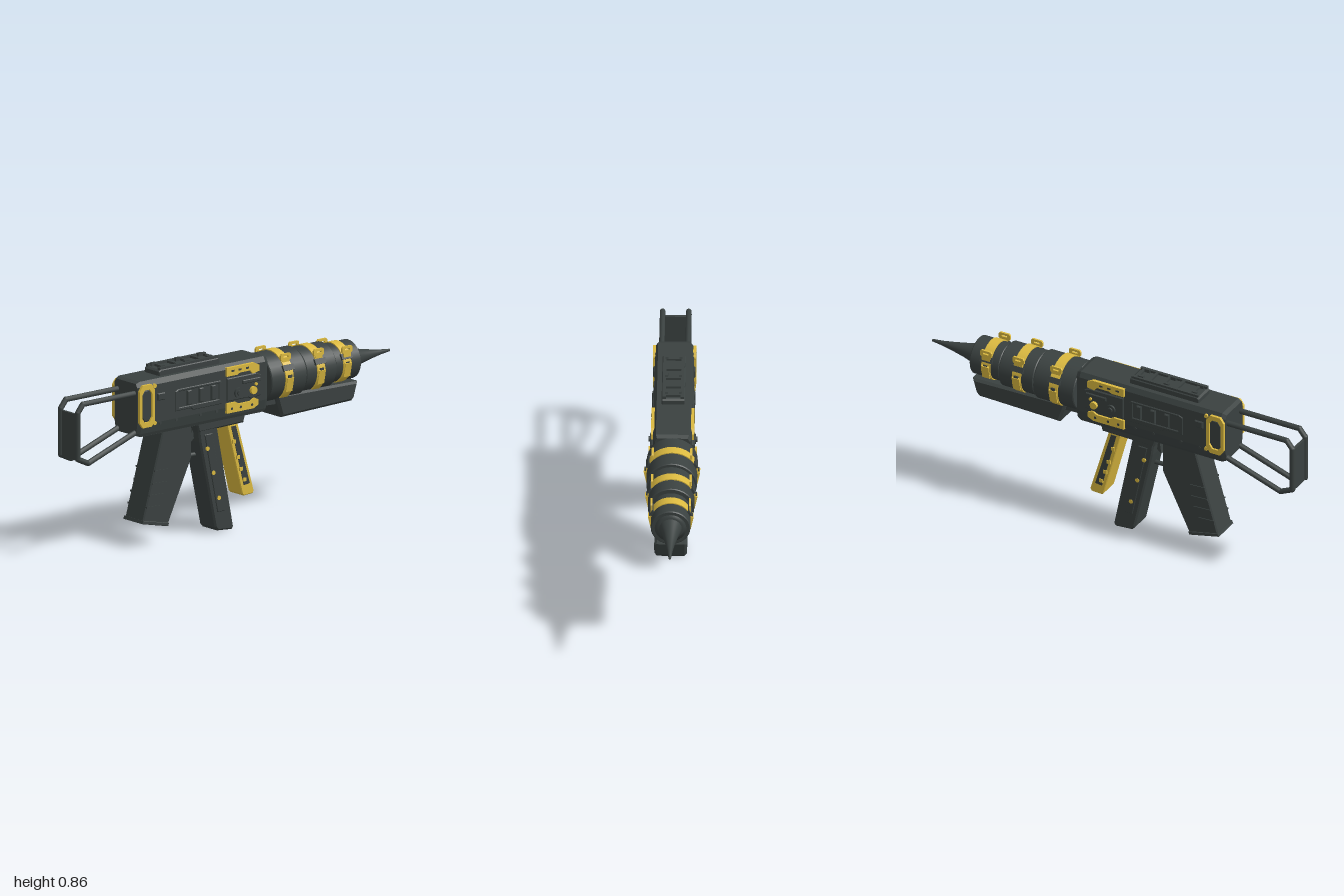
import * as THREE from 'three';

export function createModel() {
  const root = new THREE.Group();
  const dark = new THREE.MeshStandardMaterial({ name: 'gunmetal', color: 0x3a4140 });
  const gold = new THREE.MeshStandardMaterial({ name: 'brass', color: 0xdcba40 });
  const AXIS_Y = 0.695; // height of the barrel axis

  const add = (name, geo, mat, parent = root) => {
    const m = new THREE.Mesh(geo, mat);
    m.name = name;
    parent.add(m);
    return m;
  };
  const group = (name) => {
    const g = new THREE.Group();
    g.name = name;
    root.add(g);
    return g;
  };
  const toShape = (pts) => new THREE.Shape(pts.map(([a, b]) => new THREE.Vector2(a, b)));

  // Side outline of [z, y] points, extruded across x and centred on x = 0
  const profile = (pts, width, bevel = 0, holes = []) => {
    const s = toShape(pts);
    holes.forEach((h) => s.holes.push(new THREE.Path(h.map(([a, b]) => new THREE.Vector2(a, b)))));
    const depth = width - 2 * bevel;
    const g = new THREE.ExtrudeGeometry(s, {
      depth, bevelEnabled: bevel > 0, bevelSize: bevel, bevelThickness: bevel, bevelOffset: -bevel, bevelSegments: 1,
    });
    return g.translate(0, 0, -depth / 2).rotateY(-Math.PI / 2);
  };
  // The same outline as a plate between x0 and x1 on both sides
  const sidePlates = (name, pts, x0, x1, mat, parent, bevel = 0, holes = []) => {
    for (const s of [1, -1]) {
      add(name, profile(pts, x1 - x0, bevel, holes).translate((s * (x0 + x1)) / 2, 0, 0), mat, parent);
    }
  };
  const rect = (z0, z1, y0, y1) => [[z0, y0], [z1, y0], [z1, y1], [z0, y1]];
  // Round stud or knob on both sides
  const studs = (name, z, y, r, x0, x1, mat, parent, sides = 12) => {
    for (const s of [1, -1]) {
      const g = new THREE.CylinderGeometry(r, r, x1 - x0, sides).rotateZ(Math.PI / 2);
      add(name, g.translate((s * (x0 + x1)) / 2, y, z), mat, parent);
    }
  };
  const box = (name, w, h, d, x, y, z, mat, parent) =>
    add(name, new THREE.BoxGeometry(w, h, d).translate(x, y, z), mat, parent);
  // Solid of revolution about the barrel axis from [radius, -z] points
  const lathe = (pts) => new THREE.LatheGeometry(pts.map(([r, d]) => new THREE.Vector2(r, d)), 32)
    .rotateX(-Math.PI / 2).translate(0, AXIS_Y, 0);

  // Receiver: chamfered cross-section running along z
  const receiver = group('receiver');
  const half = [[0.077, 0.55], [0.083, 0.565], [0.092, 0.61], [0.092, 0.795], [0.078, 0.82]];
  const section = toShape([...half, ...half.map(([x, y]) => [-x, y]).reverse()]);
  add('receiverBody', new THREE.ExtrudeGeometry(section, {
    depth: 0.765, bevelThickness: 0.02, bevelSize: 0.009, bevelOffset: -0.009, bevelSegments: 1,
  }).translate(0, 0, -0.15), dark, receiver);
  add('underPlate', profile([[0.25, 0.56], [-0.06, 0.56], [-0.045, 0.51], [0.235, 0.505]], 0.125, 0.008), dark, receiver);
  add('lowerRail', profile(rect(-0.15, 0.6, 0.545, 0.565), 0.13), dark, receiver);

  // Top rail with cross bars
  const rail = group('topRail');
  add('railBase', profile([[0.475, 0.81], [0.475, 0.84], [0.465, 0.848], [0.11, 0.848], [0.1, 0.84], [0.1, 0.81]], 0.11, 0.004), dark, rail);
  for (const x of [-0.043, 0.043]) box('railEdge', 0.016, 0.012, 0.36, x, 0.853, 0.288, dark, rail);
  for (const z of [0.13, 0.2, 0.27, 0.345, 0.43]) box('railBar', 0.09, 0.012, 0.014, 0, 0.853, z, dark, rail);
  for (const z of [0.15, 0.29, 0.44]) for (const x of [-0.033, 0.033]) box('railLug', 0.014, 0.018, 0.028, x, 0.856, z, dark, rail);

  // Side details of the receiver
  const details = group('sideDetails');
  const octagon = (z0, z1, y0, y1, c) => [[z0 + c, y0], [z1 - c, y0], [z1, y0 + c * 1.4], [z1, y1 - c * 1.4],
    [z1 - c, y1], [z0 + c, y1], [z0, y1 - c * 1.4], [z0, y0 + c * 1.4]];
  sidePlates('rearFrame', octagon(0.541, 0.635, 0.597, 0.804, 0.02), 0.088, 0.102, gold, details, 0,
    [octagon(0.557, 0.619, 0.622, 0.78, 0.016)]);
  sidePlates('rearFrameInset', octagon(0.56, 0.616, 0.626, 0.776, 0.015), 0.08, 0.098, dark, details, 0.003);
  for (const y of [0.61, 0.791]) studs('frameTab', 0.538, y, 0.011, 0.085, 0.1, gold, details, 6);
  sidePlates('sidePanel', [[0.41, 0.645], [0.41, 0.74], [0.39, 0.75], [0.13, 0.75], [0.12, 0.74], [0.12, 0.635], [0.3, 0.635], [0.31, 0.645]],
    0.085, 0.097, dark, details, 0.003, [rect(0.14, 0.385, 0.66, 0.738)]);
  for (const z of [0.175, 0.25, 0.325]) {
    sidePlates('sideBar', rect(z - 0.013, z + 0.013, 0.665, 0.735), 0.085, 0.102, dark, details, 0.004);
  }
  sidePlates('sideLug', rect(0.475, 0.52, 0.715, 0.75), 0.085, 0.1, dark, details, 0.004);
  for (const z of [0.15, 0.25, 0.4, 0.5]) studs('lowerRivet', z, 0.603, 0.008, 0.075, 0.094, dark, details, 8);

  // Brass strips above and below a raised block
  sidePlates('upperStrip', [[0.095, 0.763], [0.03, 0.763], [0.015, 0.771], [-0.05, 0.771], [-0.065, 0.753], [-0.105, 0.76], [-0.105, 0.79], [-0.075, 0.805], [0.095, 0.805]],
    0.085, 0.102, gold, details);
  sidePlates('lowerStrip', [[0.095, 0.583], [-0.07, 0.583], [-0.1, 0.597], [-0.1, 0.622], [-0.075, 0.634], [-0.05, 0.62], [0.02, 0.62], [0.04, 0.632], [0.095, 0.632]],
    0.078, 0.102, gold, details);
  for (const z of [0.06, 0.015, -0.03]) {
    sidePlates('upperSlot', rect(z - 0.009, z + 0.009, 0.782, 0.791), 0.09, 0.103, dark, details);
  }
  for (const z of [0.065, 0.01, -0.06]) studs('lowerHole', z, 0.603, 0.007, 0.09, 0.103, dark, details, 8);
  sidePlates('raisedBlock', [[0.09, 0.64], [-0.04, 0.64], [-0.06, 0.63], [-0.12, 0.64], [-0.12, 0.74], [-0.09, 0.752], [0.09, 0.752]],
    0.08, 0.099, dark, details, 0.004);
  sidePlates('blockRib', rect(-0.11, 0.0, 0.712, 0.73), 0.09, 0.106, dark, details, 0.003);
  studs('darkKnob', 0.025, 0.675, 0.024, 0.09, 0.108, dark, details, 16);
  studs('darkKnobCap', 0.025, 0.675, 0.013, 0.1, 0.116, dark, details, 12);
  studs('brassKnob', -0.065, 0.673, 0.019, 0.09, 0.114, gold, details, 10);
  studs('brassRivet', -0.085, 0.7, 0.008, 0.09, 0.106, gold, details, 8);

  // Barrel: three stepped sleeves, each with a brass band, buckles and tabs
  const barrel = group('barrel');
  add('innerBarrel', lathe([[0.085, 0.1], [0.085, 0.735], [0.0, 0.735]]), dark, barrel);
  for (const [d0, d1, r, band] of [[0.168, 0.387, 0.12, 0.275], [0.393, 0.58, 0.11, 0.48], [0.587, 0.745, 0.094, 0.655]]) {
    const c = 0.004;
    const corners = [[0.075, d0], [r - c, d0], [r, d0 + c], [r, d1 - c], [r - c, d1], [0.075, d1]];
    corners.slice(1).forEach((p, i) => add('sleeve', lathe([corners[i], p]), dark, barrel));
    const w = 0.024;
    const b = r + 0.005;
    const rim = [[r - 0.004, band - w], [b, band - w], [b, band + w], [r - 0.004, band + w]];
    rim.slice(1).forEach((p, i) => add('band', lathe([rim[i], p]), gold, barrel));
    // Buckles and pads placed around the sleeve by angle from the side
    for (const s of [1, -1]) {
      for (const [name, deg, thick, tall, long, mat] of [
        ['buckle', 26, 0.02, 0.028, 0.066, dark], ['pad', -12, 0.018, 0.07, 0.04, gold],
        ['padLug', 6, 0.022, 0.015, 0.022, dark]]) {
        const a = s > 0 ? THREE.MathUtils.degToRad(deg) : Math.PI - THREE.MathUtils.degToRad(deg);
        const g = new THREE.BoxGeometry(thick, tall, long).translate(r, 0, 0).rotateZ(a);
        add(name, g.translate(0, AXIS_Y, -band), mat, barrel);
      }
    }
    // Upright pull tabs with a slot
    const top = AXIS_Y + r;
    const z = -band;
    sidePlates('pullTab', [[z + 0.022, top - 0.06], [z - 0.022, top - 0.06], [z - 0.022, top - 0.035], [z - 0.031, top - 0.028],
      [z - 0.031, top - 0.006], [z - 0.024, top], [z + 0.024, top], [z + 0.031, top - 0.008], [z + 0.031, top - 0.028], [z + 0.022, top - 0.035]],
    0.086, 0.096, gold, barrel, 0, [rect(z - 0.016, z + 0.014, top - 0.02, top - 0.012)]);
  }
  add('muzzleCollar', lathe([[0.07, 0.73], [0.06, 0.75], [0, 0.75]]), dark, barrel);
  add('spike', lathe([[0.056, 0.74], [0.036, 0.81], [0.022, 0.88], [0.012, 0.94], [0.006, 0.996], [0, 1]]), dark, barrel);

  // Block hanging below the barrel
  const fore = group('foreBlock');
  add('foreBlockBody', profile([[-0.235, 0.61], [-0.245, 0.57], [-0.268, 0.5], [-0.705, 0.51], [-0.72, 0.525], [-0.742, 0.6]], 0.155, 0.012), dark, fore);
  add('foreBlockJoint', profile([[-0.12, 0.62], [-0.12, 0.57], [-0.26, 0.565], [-0.26, 0.62]], 0.11), dark, fore);

  // Magazine with sloped ribs and a lip at the foot
  const mag = group('magazine');
  add('magazineBody', profile([[0.46, 0.56], [0.285, 0.56], [0.285, 0.39], [0.432, 0.085], [0.588, 0.12]], 0.134, 0.006), dark, mag);
  add('magazineLip', profile([[0.426, 0.1], [0.432, 0.084], [0.592, 0.12], [0.586, 0.136]], 0.143, 0.002), dark, mag);
  for (const [z0, z1, y] of [[0.435, 0.515, 0.365], [0.44, 0.528, 0.305], [0.455, 0.548, 0.25], [0.48, 0.565, 0.195]]) {
    sidePlates('magazineRib', [[z0, y - 0.009], [z1, y - 0.004], [z1, y + 0.004], [z0, y]], 0.06, 0.071, dark, mag);
  }

  // Main grip with inset strip and brass rivets
  const grip = group('grip');
  add('gripBody', profile([[0.235, 0.53], [0.12, 0.53], [0.016, 0.012], [0.025, 0.001], [0.115, 0.008], [0.13, 0.025], [0.225, 0.455]], 0.12, 0.008), dark, grip);
  sidePlates('gripStrip', [[0.2, 0.49], [0.152, 0.49], [0.072, 0.1], [0.12, 0.1]], 0.05, 0.064, dark, grip, 0.003);
  for (const [z, y] of [[0.183, 0.42], [0.147, 0.297], [0.113, 0.169]]) studs('gripRivet', z, y, 0.011, 0.055, 0.067, gold, grip, 8);

  // Trigger and its guard
  const guard = new THREE.CurvePath();
  const gp = [[0.283, 0.55], [0.283, 0.385], [0.2, 0.385]].map(([z, y]) => new THREE.Vector3(0, y, z));
  gp.slice(1).forEach((p, i) => guard.add(new THREE.LineCurve3(gp[i], p)));
  add('triggerGuard', new THREE.TubeGeometry(guard, 24, 0.011, 8), dark);
  add('trigger', profile([[0.24, 0.52], [0.215, 0.52], [0.225, 0.47], [0.25, 0.45]], 0.03), dark);

  // Brass foregrip with dark side panels
  const foregrip = group('foregrip');
  add('foregripBody', profile([[0.055, 0.52], [-0.012, 0.52], [-0.115, 0.165], [-0.108, 0.153], [-0.052, 0.15], [-0.042, 0.16]], 0.104, 0.004), gold, foregrip);
  sidePlates('foregripPanel', [[0.028, 0.5], [-0.0, 0.5], [-0.086, 0.207], [-0.05, 0.202]], 0.045, 0.055, dark, foregrip);
  for (const [z, y] of [[0.012, 0.425], [-0.012, 0.345], [-0.03, 0.285], [-0.052, 0.23]]) {
    sidePlates('foregripStud', rect(z - 0.01, z + 0.009, y - 0.009, y + 0.009), 0.05, 0.059, gold, foregrip);
  }

  // Stock: two bent tubes joined by a rear plate
  const stock = group('stock');
  const R = 0.0135;
  const sp = [[0.6, 0.763], [0.955, 0.763], [0.986, 0.725], [0.986, 0.5], [0.922, 0.47], [0.6, 0.582]];
  for (const x of [-0.062, 0.062]) {
    const path = sp.map(([z, y]) => new THREE.Vector3(x, y, z));
    path.slice(1).forEach((p, i) => {
      const q = path[i];
      const m = add('stockTube', new THREE.CylinderGeometry(R, R, p.distanceTo(q), 10), dark, stock);
      m.position.copy(p).add(q).multiplyScalar(0.5);
      m.quaternion.setFromUnitVectors(new THREE.Vector3(0, 1, 0), p.clone().sub(q).normalize());
      add('stockJoint', new THREE.SphereGeometry(R, 10, 8).translate(p.x, p.y, p.z), dark, stock);
    });
  }
  box('stockPlate', 0.124, 0.225, 0.014, 0, 0.605, 0.983, dark, stock);

  return root;
}
